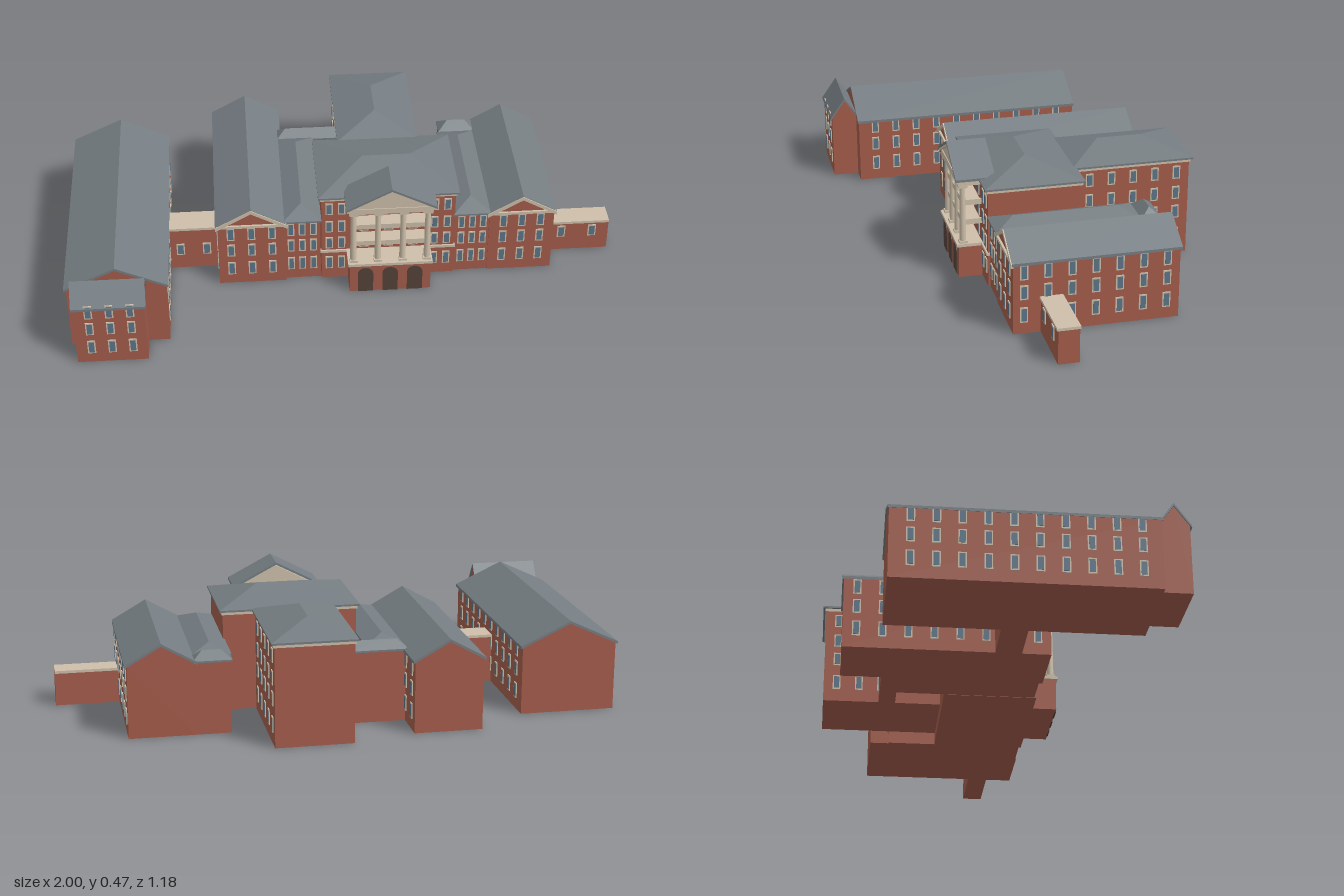
import * as THREE from 'three';
import { mergeGeometries } from 'three/addons/utils/BufferGeometryUtils.js';

const mat = (name, color) => Object.assign(new THREE.MeshStandardMaterial({ color }), { name });

export function createModel() {
  const root = new THREE.Group();
  root.name = 'brickHall';
  const brick = mat('brick', 0xa35c4b);
  const slate = mat('slate', 0x757d82);
  const stone = mat('stone', 0xcdbfa9);
  const glass = mat('glass', 0x5c7488);
  const dark = mat('archway', 0x54433a);

  const add = (name, geo, material) => {
    const m = new THREE.Mesh(geo, material);
    m.name = name;
    root.add(m);
    return m;
  };
  const boxGeo = (x0, x1, y0, y1, z0, z1) =>
    new THREE.BoxGeometry(x1 - x0, y1 - y0, z1 - z0).translate((x0 + x1) / 2, (y0 + y1) / 2, (z0 + z1) / 2);
  const box = (name, material, ...b) => add(name, boxGeo(...b), material);
  // Extrude a 2D outline from z0 to z1
  const prism = (pts, z0, z1) =>
    new THREE.ExtrudeGeometry(new THREE.Shape(pts.map(p => new THREE.Vector2(...p))),
      { depth: z1 - z0, bevelEnabled: false }).translate(0, 0, z0);
  const chevron = (x0, x1, eave, ridge, t) => {
    const m = (x0 + x1) / 2;
    return [[x0, eave], [x0, eave - t], [m, ridge - t], [x1, eave - t], [x1, eave], [m, ridge]];
  };

  // Gabled block: walls with brick gables and a thin pitched roof, ridge along z
  const gable = (name, x0, x1, z0, z1, eave, ridge, over = 0.008, end = 0.005) => {
    const m = (x0 + x1) / 2;
    const slope = (ridge - eave) / (m - x0 + over);
    const wy = eave - 0.006 + slope * over;
    const walls = prism([[x0, 0], [x1, 0], [x1, wy], [m, ridge - 0.006], [x0, wy]], z0, z1);
    const roof = prism(chevron(x0 - over, x1 + over, eave, ridge, 0.01), z0 - end, z1 + end);
    return [add(name + 'Walls', walls, brick), add(name + 'Roof', roof, slate)];
  };

  // Hipped roof on a thin eave slab; r0..r1 is the ridge extent along its axis
  const hip = (name, x0, x1, z0, z1, eave, ridge, axis, r0, r1) => {
    const a = [x0, eave, z1], b = [x1, eave, z1], c = [x1, eave, z0], d = [x0, eave, z0];
    const xm = (x0 + x1) / 2, zm = (z0 + z1) / 2;
    const p = axis === 'z' ? [xm, ridge, r1] : [r0, ridge, zm];
    const q = axis === 'z' ? [xm, ridge, r0] : [r1, ridge, zm];
    const tris = axis === 'z'
      ? [a, b, p, b, c, q, b, q, p, c, d, q, d, a, p, d, p, q]
      : [a, b, q, a, q, p, b, c, q, c, d, p, c, p, q, d, a, p];
    const g = new THREE.BufferGeometry();
    g.setAttribute('position', new THREE.Float32BufferAttribute(tris.flat(), 3));
    g.computeVertexNormals();
    add(name + 'Roof', g, slate);
    box(name + 'Eave', slate, x0, x1, eave - 0.007, eave, z0, z1);
  };

  // Windows: stone surround with a pane, collected and merged
  const frames = [], panes = [];
  const plate = (list, axis, at, u, y0, y1, w, t) => list.push(axis === 'z'
    ? boxGeo(u - w / 2, u + w / 2, y0, y1, at - t / 2, at + t / 2)
    : boxGeo(at - t / 2, at + t / 2, y0, y1, u - w / 2, u + w / 2));
  const windows = (axis, at, cols, rows, w = 0.028) => {
    for (const u of cols) for (const [y0, y1] of rows) {
      plate(frames, axis, at, u, y0, y1, w, 0.007);
      plate(panes, axis, at, u, y0 + 0.005, y1 - 0.005, w - 0.009, 0.0095);
    }
  };
  const spread = (from, to, n) => Array.from({ length: n }, (_, i) => from + (to - from) * i / (n - 1));
  const threeFloors = [[0.042, 0.098], [0.127, 0.18], [0.2, 0.256]];
  const fourFloors = [[0.045, 0.1], [0.14, 0.19], [0.215, 0.265], [0.295, 0.345]];

  // Long west hall with its small front annex (annex ridge runs along x)
  gable('westHall', -0.99, -0.643, -0.395, 0.485, 0.255, 0.34);
  for (const x of [-0.99, -0.643]) windows('x', x, spread(0.42, -0.325, 10), threeFloors);
  for (const m of gable('annex', -0.582, -0.48, -0.965, -0.718, 0.247, 0.327, 0.006)) {
    m.geometry.rotateY(Math.PI / 2);
    m.position.x = -1.683 + 0;
    m.position.x = 0;
  }
  windows('z', 0.582, [-0.912, -0.84, -0.768], threeFloors);

  // Low flat-roofed connectors
  const connector = (name, x0, x1, z0, z1, h, cols) => {
    box(name + 'Walls', brick, x0, x1, 0, h - 0.01, z0 + 0.004, z1 - 0.004);
    box(name + 'Coping', stone, x0, x1, h - 0.01, h, z0, z1);
    windows('z', z1 - 0.004, cols, [[0.062, 0.112]], 0.03);
  };
  connector('westConnector', -0.65, -0.455, -0.005, 0.095, 0.185, [-0.602, -0.505]);
  connector('eastConnector', 0.76, 1, 0.012, 0.093, 0.132, [0.822, 0.938]);

  // Two gabled wings with stone pediment trim on the front
  const wing = (name, x0, x1, z0, z1, cols, sideCols) => {
    gable(name, x0, x1, z0, z1, 0.265, 0.338);
    add(name + 'RakingTrim', prism(chevron(x0 - 0.008, x1 + 0.008, 0.263, 0.336, 0.014), z1, z1 + 0.009), stone);
    box(name + 'PedimentBase', stone, x0 - 0.004, x1 + 0.004, 0.258, 0.268, z1 - 0.002, z1 + 0.008);
    windows('z', z1, cols, threeFloors);
    for (const x of [x0, x1]) windows('x', x, sideCols, threeFloors);
  };
  wing('westWing', -0.462, -0.217, -0.525, 0.193, [-0.415, -0.34, -0.265], spread(0.147, -0.478, 8));
  wing('eastWing', 0.53, 0.768, -0.395, 0.184, [0.582, 0.65, 0.718], spread(0.147, -0.35, 7));

  // Narrow links between the main block and the wings
  const link = (name, x0, x1, cols) => {
    box(name + 'Walls', brick, x0, x1, 0, 0.262, -0.325, 0.18);
    hip(name, x0 - 0.004, x1 + 0.004, -0.33, 0.19, 0.268, 0.298, 'z', -0.265, 0.115);
    windows('z', 0.18, cols, threeFloors, 0.025);
  };
  link('westLink', -0.222, -0.088, [-0.196, -0.155, -0.114]);
  link('eastLink', 0.4, 0.535, [0.428, 0.468, 0.508]);
  box('westRearLinkWalls', brick, -0.222, 0.02, 0, 0.262, -0.38, -0.32);
  hip('westRearLink', -0.225, 0.02, -0.387, -0.32, 0.268, 0.298, 'x', -0.19, 0.02);
  box('eastRearLinkWalls', brick, 0.407, 0.535, 0, 0.262, -0.395, -0.325);
  hip('eastRearLink', 0.402, 0.54, -0.4, -0.328, 0.268, 0.298, 'x', 0.438, 0.505);

  // Main block and rear block, each with stone cornice and hipped roof
  const hall = (name, x0, x1, z0, z1, ...roof) => {
    box(name + 'Walls', brick, x0, x1, 0, 0.358, z0, z1);
    box(name + 'Cornice', stone, x0 - 0.005, x1 + 0.005, 0.358, 0.369, z0 - 0.005, z1 + 0.005);
    hip(name, x0 - 0.012, x1 + 0.012, z0 - 0.012, z1 + 0.012, 0.376, ...roof);
  };
  hall('mainBlock', -0.085, 0.402, -0.148, 0.188, 0.428, 'x', 0.075, 0.25);
  hall('rearBlock', 0.008, 0.285, -0.582, -0.155, 0.423, 'z', -0.44, -0.275);
  windows('z', 0.188, [-0.057, -0.012, 0.328, 0.374], fourFloors, 0.027);
  windows('z', 0.188, [0.07, 0.16, 0.25], fourFloors.slice(1), 0.034);
  for (const x of [0.008, 0.285]) windows('x', x, spread(-0.535, -0.21, 5), fourFloors);
  box('beltCourse', stone, -0.089, 0.406, 0.121, 0.131, 0.18, 0.194);

  // Portico: arched brick base, columns, balconies, pediment
  box('porticoBase', brick, 0.012, 0.308, 0, 0.12, 0.18, 0.274);
  box('porticoDeck', stone, 0.006, 0.314, 0.12, 0.131, 0.18, 0.281);
  for (const x of [0.07, 0.16, 0.25]) {
    const s = new THREE.Shape();
    s.moveTo(-0.028, 0);
    s.lineTo(0.028, 0);
    s.lineTo(0.028, 0.08);
    s.absarc(0, 0.08, 0.028, 0, Math.PI, false);
    s.lineTo(-0.028, 0);
    const g = new THREE.ExtrudeGeometry(s, { depth: 0.006, bevelEnabled: false, curveSegments: 8 });
    add('archway', g, dark).position.set(x, 0, 0.271);
  }
  for (const x of [0.026, 0.115, 0.205, 0.294]) {
    add('column', new THREE.CylinderGeometry(0.01, 0.012, 0.225, 12).translate(x, 0.2435, 0.256), stone);
    box('columnBase', stone, x - 0.015, x + 0.015, 0.131, 0.14, 0.241, 0.271);
    box('columnCapital', stone, x - 0.016, x + 0.016, 0.345, 0.358, 0.24, 0.272);
  }
  for (const y of [0.2, 0.275]) {
    box('balconyFloor', stone, 0.02, 0.3, y, y + 0.008, 0.188, 0.258);
    box('balconyRail', stone, 0.02, 0.3, y + 0.008, y + 0.02, 0.25, 0.258);
    for (const x of [0.02, 0.292]) box('balconySideRail', stone, x, x + 0.008, y + 0.008, y + 0.02, 0.188, 0.258);
  }
  box('entablature', stone, 0.008, 0.312, 0.355, 0.378, 0.18, 0.275);
  add('pediment', prism([[0.008, 0.376], [0.312, 0.376], [0.16, 0.456]], 0.15, 0.272), stone);
  add('pedimentTrim', prism(chevron(0.0, 0.32, 0.381, 0.463, 0.014), 0.268, 0.282), stone);
  add('porticoRoof', prism(chevron(-0.003, 0.323, 0.383, 0.468, 0.009), 0.143, 0.285), slate);

  add('windowSurrounds', mergeGeometries(frames), stone);
  add('windowPanes', mergeGeometries(panes), glass);
  return root;
}
